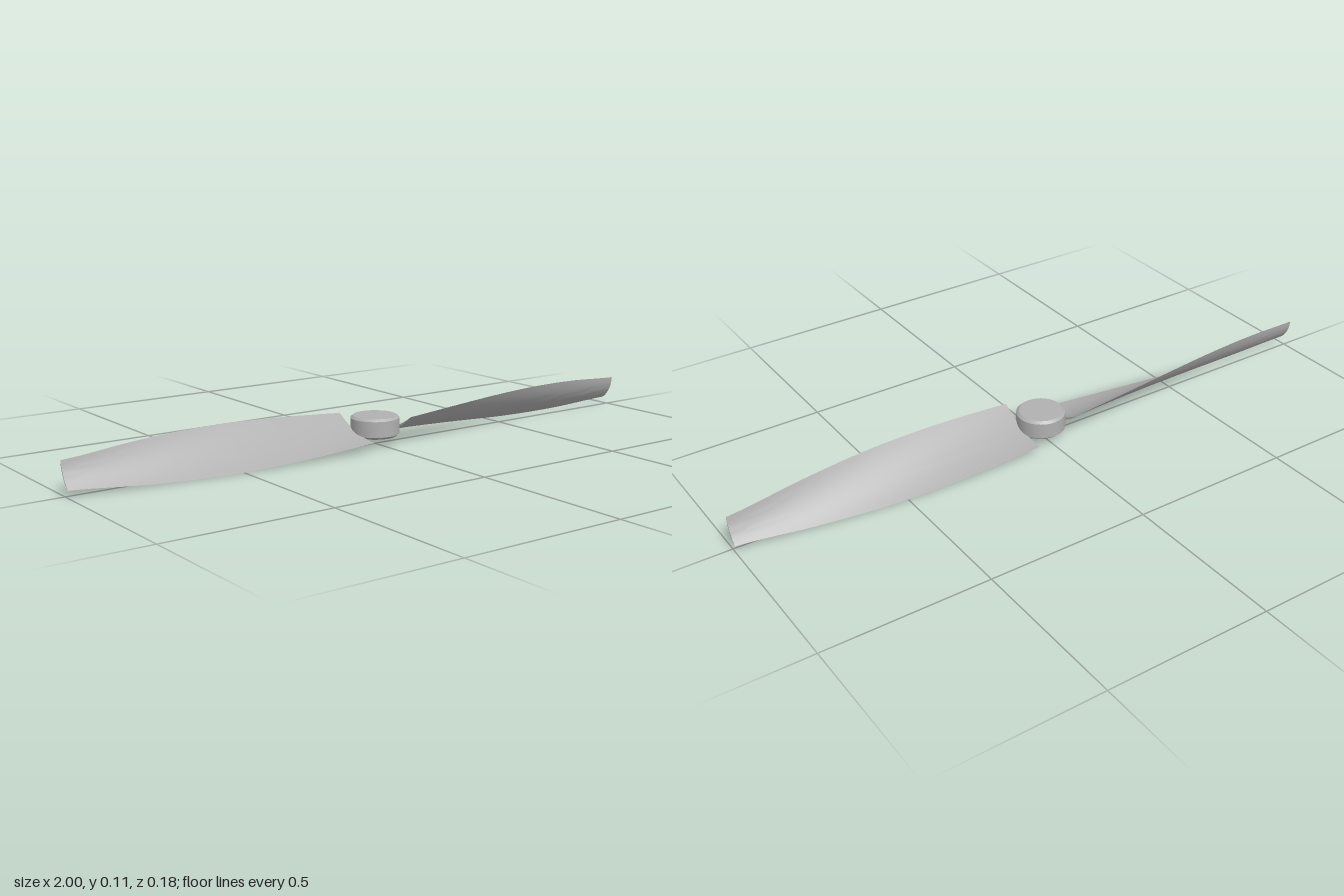
import * as THREE from 'three';
import { toCreasedNormals } from 'three/addons/utils/BufferGeometryUtils.js';

const CENTER_Y = 0.061, ROOT_X = 0.066, TIP_X = 1;

// Twisted, cambered blade running along +x, lofted from thin crescent sections
function bladeGeometry() {
  const rows = 32, n = 12, ring = 2 * n;
  const chord = new THREE.SplineCurve(
    [0.094, 0.095, 0.087, 0.067, 0.0415].map((c, i) => new THREE.Vector2(i, c)));
  const pos = [], index = [];
  const quad = (a, b, c, d) => index.push(a, b, c, a, c, d);

  for (let i = 0; i <= rows; i++) {
    const t = i / rows;
    const half = chord.getPoint(t).y;
    const pitch = THREE.MathUtils.degToRad(18.5 + 44.5 * t);
    const sin = Math.sin(pitch), cos = Math.cos(pitch);
    for (let j = 0; j < ring; j++) {
      const lower = j <= n;
      const s = lower ? -1 + (2 * j) / n : 1 - (2 * (j - n)) / n;
      const sag = -2 * half * (lower ? 0.115 : 0.075) * (1 - s * s);
      pos.push(ROOT_X + (TIP_X - ROOT_X) * t,
        half * s * sin + sag * cos,
        half * s * cos - sag * sin);
    }
  }
  // Skin
  for (let i = 0; i < rows; i++) {
    for (let j = 0; j < ring; j++) {
      const a = i * ring + j, b = i * ring + ((j + 1) % ring);
      quad(a, a + ring, b + ring, b);
    }
  }
  // Root and tip caps
  for (let k = 0; k < n; k++) {
    const u0 = (ring - k) % ring, u1 = ring - k - 1, e = rows * ring;
    quad(k, k + 1, u1, u0);
    quad(e + u0, e + u1, e + k + 1, e + k);
  }
  const g = new THREE.BufferGeometry();
  g.setAttribute('position', new THREE.Float32BufferAttribute(pos, 3));
  g.setIndex(index);
  return toCreasedNormals(g, 0.6);
}

export function createModel() {
  const model = new THREE.Group();
  model.name = 'propeller';
  const grey = new THREE.MeshStandardMaterial({ color: 0xb0b0b0 });
  grey.name = 'grey plastic';

  // Hub: short cylinder with bevelled rims
  const profile = [[0, -0.031], [0.066, -0.031], [0.074, -0.024],
    [0.074, 0.024], [0.066, 0.031], [0, 0.031]].map(([r, y]) => new THREE.Vector2(r, y));
  const hub = new THREE.Mesh(
    toCreasedNormals(new THREE.LatheGeometry(profile, 32), 0.5), grey);
  hub.name = 'hub';
  hub.position.y = CENTER_Y;
  model.add(hub);

  // Two blades, half a turn apart
  const geometry = bladeGeometry();
  ['leftBlade', 'rightBlade'].forEach((name, i) => {
    const blade = new THREE.Mesh(geometry, grey);
    blade.name = name;
    blade.position.y = CENTER_Y;
    blade.rotation.y = i * Math.PI;
    model.add(blade);
  });
  return model;
}
